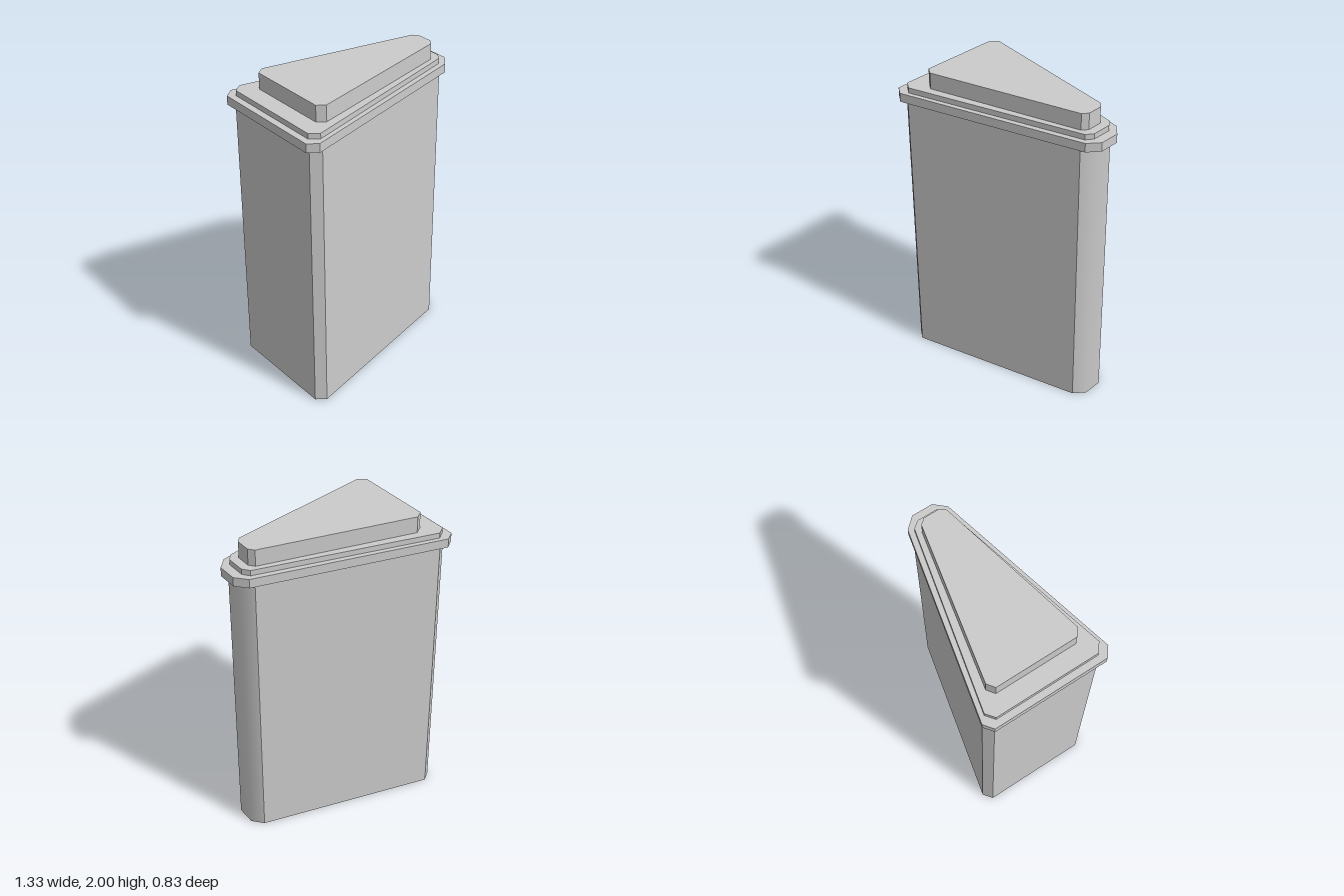
import * as THREE from 'three';

const material = new THREE.MeshStandardMaterial({ color: 0xcccccc });

// Upright prism: half outline as [x, z] pairs, mirrored across z = 0
function wedge(name, half, y0, y1) {
  const outline = [...half, ...half.map(([x, z]) => [x, -z]).reverse()];
  const shape = new THREE.Shape(outline.map(([x, z]) => new THREE.Vector2(x, z)));
  const geometry = new THREE.ExtrudeGeometry(shape, { depth: y1 - y0, bevelEnabled: false });
  geometry.rotateX(-Math.PI / 2).translate(0, y0, 0);
  const mesh = new THREE.Mesh(geometry, material);
  mesh.name = name;
  return mesh;
}

// Blend the normals where the front of the nose meets its chamfers
function smoothNose(geometry, tipX) {
  const { position, normal } = geometry.attributes;
  for (let i = 0; i < position.count; i++) {
    if (position.getX(i) > tipX - 0.01 && normal.getX(i) > 0.5) {
      const a = 0.4 * Math.sign(position.getZ(i));
      normal.setXYZ(i, Math.cos(a), 0, Math.sin(a));
    }
  }
}

export function createModel() {
  const group = new THREE.Group();
  group.name = 'wedgeContainer';

  // Tall tapered body with a rounded narrow end
  const body = wedge('body', [[-0.623, 0.345], [-0.565, 0.39], [0.557, 0.13], [0.617, 0.063]], 0, 1.805);
  smoothNose(body.geometry, 0.617);

  // Stepped lid
  group.add(
    body,
    wedge('lidFlange', [[-0.664, 0.37], [-0.604, 0.416], [0.598, 0.137], [0.661, 0.067]], 1.805, 1.862),
    wedge('lidStep', [[-0.622, 0.336], [-0.567, 0.378], [0.57, 0.108], [0.603, 0.065]], 1.862, 1.896),
    wedge('lidTop', [[-0.508, 0.263], [-0.46, 0.298], [0.522, 0.085], [0.55, 0.05]], 1.896, 2)
  );
  return group;
}
